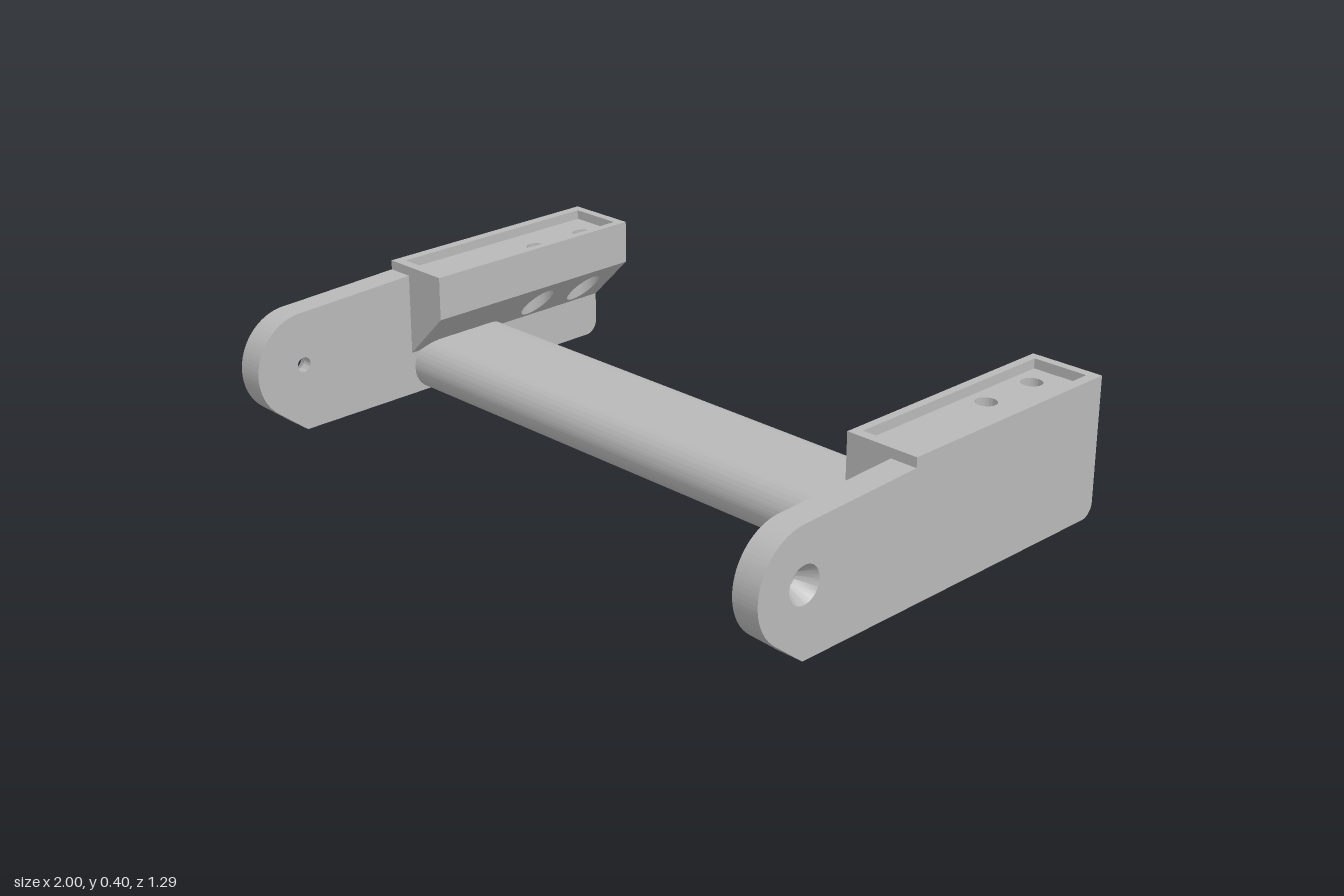
import * as THREE from 'three';
import { toCreasedNormals } from 'three/addons/utils/BufferGeometryUtils.js';

const INNER = 0.78, WALL = 0.92, OUTER = 1;      // x positions of one side bracket
const FRONT = 0.1, BACK = -0.645;                // z range of the mounting pad
const FLOOR = 0.372, TOP = 0.4;                  // recess floor and rim heights
const PIVOT = { z: 0.49, y: 0.2, r: 0.157 };
const SCREWS = [-0.535, -0.345].map((z) => [0.86, -z]);

const extrude = (shape, depth) =>
  new THREE.ExtrudeGeometry(shape, { depth, bevelEnabled: false, curveSegments: 32 });

const circle = (x, y, r) => new THREE.Path().absarc(x, y, r, 0, Math.PI * 2, true);

function rect(x0, y0, x1, y1) {
  return new THREE.Shape([[x0, y0], [x1, y0], [x1, y1], [x0, y1]].map((p) => new THREE.Vector2(...p)));
}

// Extrude a (-z, y) outline sideways from x0 to x1
const sideways = (shape, x0, x1) => extrude(shape, x1 - x0).rotateY(Math.PI / 2).translate(x0, 0, 0);

// Extrude an (x, -z) outline upwards from y0 to y1
const upwards = (shape, y0, y1) => extrude(shape, y1 - y0).rotateX(-Math.PI / 2).translate(0, y0, 0);

// Move every vertex by a rule
function bend(geo, rule) {
  const p = geo.attributes.position, v = new THREE.Vector3();
  for (let i = 0; i < p.count; i++) {
    rule(v.fromBufferAttribute(p, i));
    p.setXYZ(i, v.x, v.y, v.z);
  }
  return geo;
}

// Mirror in x and restore the corner order
function mirror(source) {
  const geo = bend(source.clone(), (v) => { v.x *= -1; });
  const a = geo.attributes.position.array;
  for (let i = 0; i < a.length; i += 9) {
    for (let k = 3; k < 6; k++) [a[i + k], a[i + k + 3]] = [a[i + k + 3], a[i + k]];
  }
  return geo;
}

// Arm outline: rounded nose, sloped top, filleted back corner
function armShape(holeRadius) {
  const { z, y, r } = PIVOT, s = new THREE.Shape();
  const tangent = Math.PI * 1.5 - Math.acos(r / y);
  s.moveTo(-z, 0);
  s.lineTo(-BACK - 0.04, 0);
  s.absarc(-BACK - 0.04, 0.04, 0.04, -Math.PI / 2, 0, false);
  s.lineTo(-BACK, FLOOR);
  s.lineTo(-FRONT, FLOOR);
  s.lineTo(-z, y + r);
  s.absarc(-z, y, r, Math.PI / 2, tangent, false);
  s.closePath();
  s.holes.push(circle(-z, y, holeRadius));
  return s;
}

function withHoles(shape, radius) {
  SCREWS.forEach(([x, y]) => shape.holes.push(circle(x, y, radius)));
  return shape;
}

function bracketParts() {
  const sink = WALL + 0.03;
  // Outer arm layer with its pivot hole tapered into a countersink
  const outer = bend(sideways(armShape(0.052), sink, OUTER), (v) => {
    const dy = v.y - PIVOT.y, dz = v.z - PIVOT.z;
    if (v.x < sink + 0.001 && Math.hypot(dy, dz) < 0.06) {
      v.y = PIVOT.y + dy * 0.42;
      v.z = PIVOT.z + dz * 0.42;
    }
  });
  // Gusset under the pad, its underside sloped at 45 degrees
  const gusset = bend(upwards(withHoles(rect(INNER, -FRONT, WALL, -BACK), 0.05), 0, 0.33), (v) => {
    if (v.y < 0.01) v.y = 0.27 - (v.x - INNER);
  });
  const rim = rect(INNER, -FRONT, OUTER, -BACK);
  rim.holes.push(rect(0.805, -0.07, 0.97, 0.618));
  return {
    armOuter: outer,
    armInner: sideways(armShape(0.022), WALL, sink),
    gusset,
    padFloor: upwards(withHoles(rect(INNER, -FRONT, WALL, -BACK), 0.03), 0.33, FLOOR),
    padRim: upwards(rim, FLOOR, TOP),
  };
}

export function createModel() {
  const model = new THREE.Group();
  model.name = 'handleBracket';
  const grey = new THREE.MeshStandardMaterial({ color: 0xb8b8b8 });
  grey.name = 'grey';

  const add = (parent, name, geo) => {
    const mesh = new THREE.Mesh(toCreasedNormals(geo, 0.5), grey);
    mesh.name = name;
    parent.add(mesh);
  };

  // Left and right side brackets
  const parts = bracketParts();
  for (const side of ['left', 'right']) {
    const group = new THREE.Group();
    group.name = side + 'Bracket';
    for (const [name, geo] of Object.entries(parts)) {
      add(group, name, side === 'left' ? geo : mirror(geo));
    }
    model.add(group);
  }

  // Crossbar with rounded front and back edges
  const bar = new THREE.Shape();
  bar.absarc(0.18, 0.08, 0.08, -Math.PI / 2, Math.PI / 2, false);
  bar.absarc(-0.01, 0.08, 0.08, Math.PI / 2, Math.PI * 1.5, false);
  add(model, 'crossbar', sideways(bar, -WALL, WALL));

  return model;
}
